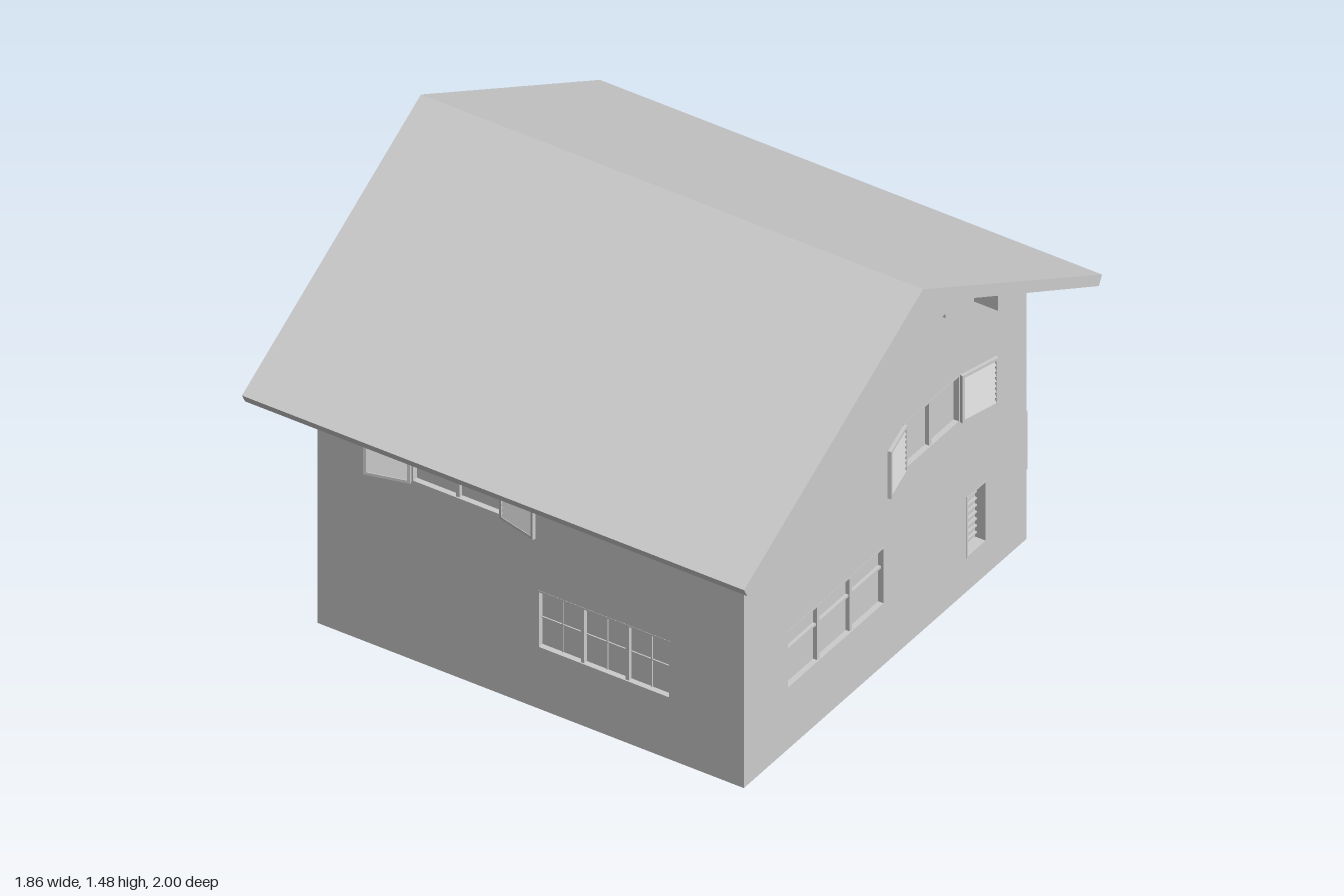
import * as THREE from 'three';

export function createModel() {
  const house = new THREE.Group();
  house.name = 'house';
  const plaster = new THREE.MeshStandardMaterial({ color: 0xcccccc, side: THREE.DoubleSide });
  plaster.name = 'paleGrey';

  const W = 0.79; // half width and half depth of the walls
  const FLOOR = 0.13;

  function add(parent, name, geometry, x = 0, y = 0, z = 0) {
    const mesh = new THREE.Mesh(geometry, plaster);
    mesh.name = name;
    mesh.position.set(x, y, z);
    parent.add(mesh);
    return mesh;
  }
  const box = (parent, name, w, h, d, x, y, z) => add(parent, name, new THREE.BoxGeometry(w, h, d), x, y, z);
  const polygon = (points) => new THREE.Shape(points.map(([x, y]) => new THREE.Vector2(x, y)));
  const rect = (x0, x1, y0, y1) => [[x0, y0], [x1, y0], [x1, y1], [x0, y1]];

  function ring(x0, x1, y0, y1, border, depth) {
    const shape = polygon(rect(x0, x1, y0, y1));
    shape.holes.push(polygon(rect(x0 + border, x1 - border, y0 + border, y1 - border)));
    return new THREE.ExtrudeGeometry(shape, { depth, bevelEnabled: false });
  }

  // Extrudes a (z, y) profile along x, centred on the given x
  function alongX(parent, name, points, width, x) {
    const geometry = new THREE.ExtrudeGeometry(polygon(points), { depth: width, bevelEnabled: false });
    geometry.translate(0, 0, -width / 2).rotateY(-Math.PI / 2);
    return add(parent, name, geometry, x, 0, 0);
  }

  // Louvred shutter hinged at the window edge, swung a little off the wall
  function addShutter(parent, side, x, y0, y1, width) {
    const shutter = new THREE.Group();
    shutter.name = 'shutter';
    shutter.position.set(x, 0, W + 0.002);
    shutter.rotation.y = -side * 0.25;
    const start = side > 0 ? 0 : -width;
    add(shutter, 'shutterFrame', ring(start, start + width, y0, y1, 0.01, 0.012));
    const count = 8, step = (y1 - y0 - 0.02) / count;
    for (let i = 0; i < count; i++) {
      const slat = box(shutter, 'slat', width - 0.02, step * 0.95, 0.004,
        start + width / 2, y0 + 0.01 + step * (i + 0.5), 0.006);
      slat.rotation.x = -0.5;
    }
    parent.add(shutter);
  }

  function addWindow(parent, o) {
    const { x: [x0, x1], y: [y0, y1], panes = 1, depth = 0.02 } = o;
    const group = new THREE.Group();
    group.name = o.name || 'window';
    parent.add(group);
    const w = x1 - x0, h = y1 - y0, cx = (x0 + x1) / 2, cy = (y0 + y1) / 2;
    add(group, 'frame', ring(x0, x1, y0, y1, 0.006, depth), 0, 0, W - depth + 0.001);
    add(group, 'glass', new THREE.PlaneGeometry(w, h), cx, cy, W - depth);
    for (let i = 1; i < panes; i++) {
      box(group, 'mullion', 0.012, h, depth * 0.8, x0 + (w * i) / panes, cy, W - depth * 0.6);
    }
    if (o.grid) {
      box(group, 'glazingBar', w, 0.004, 0.005, cx, cy, W - depth + 0.002);
      for (let i = 0; i < panes; i++) {
        box(group, 'glazingBar', 0.004, h, 0.005, x0 + (w * (i + 0.5)) / panes, cy, W - depth + 0.002);
      }
    }
    if (o.transom) box(group, 'transom', w, 0.008, 0.012, cx, o.transom, W - depth + 0.006);
    for (let i = 1; i <= (o.slats || 0); i++) {
      box(group, 'ventSlat', w, 0.005, 0.01, cx, y0 + (h * i) / (o.slats + 1), W - depth + 0.005);
    }
    if (o.shutter) {
      addShutter(group, -1, x0, y0, y1, o.shutter);
      addShutter(group, 1, x1, y0, y1, o.shutter);
    }
  }

  // One facade: a wall sheet with openings, turned to its side of the house
  function addFacade(name, angle, outline, windows) {
    const facade = new THREE.Group();
    facade.name = name;
    facade.rotation.y = angle;
    const shape = polygon(outline);
    for (const { x, y } of windows) shape.holes.push(polygon(rect(x[0], x[1], y[0], y[1])));
    add(facade, 'wall', new THREE.ShapeGeometry(shape), 0, 0, W);
    windows.forEach((o) => addWindow(facade, o));
    house.add(facade);
    return facade;
  }

  const flat = rect(-W, W, 0, 1.004);
  const gable = [[-W, 0], [W, 0], [W, 1.004], [0.22, 1.31], [-0.22, 1.31], [-W, 1.004]];

  addFacade('frontFacade', 0, flat, [
    { x: [-0.44, -0.105], y: [0.677, 0.86], panes: 2, shutter: 0.155 },
    { x: [0.025, 0.52], y: [0.23, 0.45], panes: 3, grid: true },
  ]);
  addFacade('leftFacade', Math.PI / 2, gable, [
    { x: [0.1, 0.415], y: [0.67, 0.85], panes: 2, shutter: 0.15 },
    { x: [-0.55, -0.005], y: [0.23, 0.45], panes: 3, transom: 0.37 },
    { name: 'vent', x: [0.455, 0.565], y: [0.126, 0.36], depth: 0.04, slats: 8 },
  ]);
  const back = addFacade('backFacade', Math.PI, flat, [
    { x: [0.1, 0.45], y: [0.677, 0.855], shutter: 0.155 },
    { x: [-0.64, -0.39], y: [0.23, 0.45], panes: 2, shutter: 0.13 },
    { name: 'balconyDoor', x: [-0.545, -0.425], y: [0.585, 0.86], depth: 0.04 },
  ]);
  addFacade('rightFacade', -Math.PI / 2, gable, [
    { x: [-0.515, 0.035], y: [0.67, 0.85], panes: 3 },
    { x: [0.12, 0.585], y: [0.22, 0.46], panes: 3, grid: true },
  ]);

  // Raised floor, open underneath
  const floor = add(house, 'floor', new THREE.PlaneGeometry(2 * W, 2 * W), 0, FLOOR, 0);
  floor.rotation.x = Math.PI / 2;

  // Balcony with turned balusters
  const balcony = new THREE.Group();
  balcony.name = 'balcony';
  back.add(balcony);
  const bx0 = -0.64, bx1 = -0.29, out = 0.15, mid = (bx0 + bx1) / 2, bw = bx1 - bx0;
  box(balcony, 'balconySlab', bw, 0.012, out, mid, 0.577, W + out / 2);
  box(balcony, 'frontRail', bw, 0.01, 0.014, mid, 0.681, W + out - 0.007);
  const baluster = new THREE.LatheGeometry(
    [[0.005, 0], [0.003, 0.015], [0.009, 0.04], [0.003, 0.068], [0.005, 0.094]]
      .map(([r, y]) => new THREE.Vector2(r, y)), 8);
  const post = (x, z) => add(balcony, 'baluster', baluster, x, 0.583, z);
  for (let i = 0; i <= 10; i++) post(bx0 + 0.008 + ((bw - 0.016) * i) / 10, W + out - 0.008);
  for (const x of [bx0 + 0.007, bx1 - 0.007]) {
    box(balcony, 'sideRail', 0.014, 0.01, out, x, 0.681, W + out / 2);
    for (let i = 0; i < 4; i++) post(x, W + 0.015 + i * 0.033);
  }

  // Gable roof as one slab
  alongX(house, 'roof', [[0, 1.48], [-1, 0.935], [-0.982, 0.902], [-0.22, 1.31],
    [0.22, 1.31], [0.982, 0.902], [1, 0.935]], 1.86, 0);

  for (const side of [-1, 1]) {
    // Rafter tails under the eaves
    for (const x of [-0.718, -0.24, 0.237, 0.714]) {
      alongX(house, 'rafterTail', [[0.78, 1.009], [0.78, 0.9], [0.85, 0.865], [0.895, 0.947]]
        .map(([z, y]) => [z * side, y]), 0.045, x);
    }
    // Purlin ends on the gables
    for (const end of [-1, 1]) {
      const x = end * 0.83;
      alongX(house, 'purlinEnd', [[0.2, 1.23], [0.245, 1.23], [0.245, 1.297], [0.22, 1.31], [0.2, 1.31]]
        .map(([z, y]) => [z * side, y]), 0.1, x);
      alongX(house, 'purlinEnd', [[0.495, 1.08], [0.54, 1.08], [0.54, 1.138], [0.495, 1.162]]
        .map(([z, y]) => [z * side, y]), 0.1, x);
    }
  }
  return house;
}
